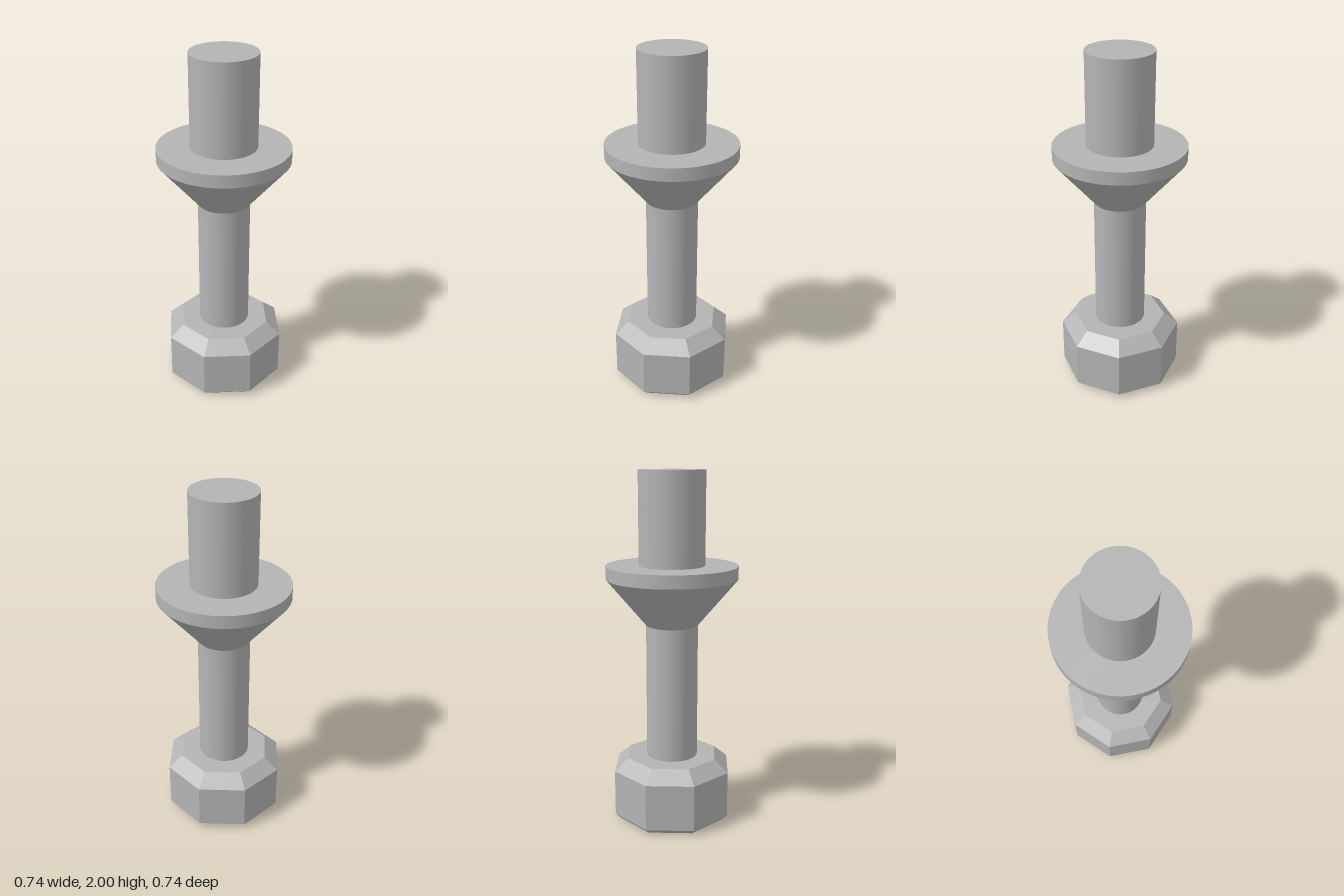
import * as THREE from 'three';

export function createModel() {
  const model = new THREE.Group();
  const steel = new THREE.MeshStandardMaterial({ color: 0xb4b4b4 });
  steel.name = 'steel grey';

  // Stacks a round or faceted section between two heights
  const section = (name, y0, y1, r0, r1, sides = 64, open = false) => {
    let geometry = new THREE.CylinderGeometry(r1, r0, y1 - y0, sides, 1, open);
    if (sides < 16) {
      geometry = geometry.toNonIndexed(); // crisp facets
      geometry.computeVertexNormals();
    }
    const mesh = new THREE.Mesh(geometry, steel);
    mesh.name = name;
    mesh.position.y = (y0 + y1) / 2;
    return mesh;
  };

  // Octagonal head with a small lower and a wide upper chamfer, closed at both ends
  const head = new THREE.Group();
  head.name = 'octagonalHead';
  const cap = (name, y, radius, tilt) => {
    const mesh = new THREE.Mesh(new THREE.CircleGeometry(radius, 8), steel);
    mesh.name = name;
    mesh.rotation.x = tilt;
    mesh.position.y = y;
    return mesh;
  };
  head.add(
    cap('headBottom', 0, 0.32, Math.PI / 2),
    section('lowerChamfer', 0, 0.03, 0.32, 0.353, 8, true),
    section('headBody', 0.03, 0.3, 0.353, 0.353, 8, true),
    section('upperChamfer', 0.3, 0.37, 0.353, 0.27, 8, true),
    cap('headTop', 0.37, 0.27, -Math.PI / 2),
  );

  // Flared collar: cone running up into a thin cylindrical rim
  const collar = new THREE.Group();
  collar.name = 'collar';
  collar.add(
    section('collarCone', 1.145, 1.41, 0.147, 0.37, 64, true),
    section('collarRim', 1.41, 1.483, 0.37, 0.37),
  );

  model.add(
    head,
    section('shaft', 0.37, 1.145, 0.147, 0.147, 64, true),
    collar,
    section('topPin', 1.483, 2, 0.185, 0.185),
  );
  return model;
}
